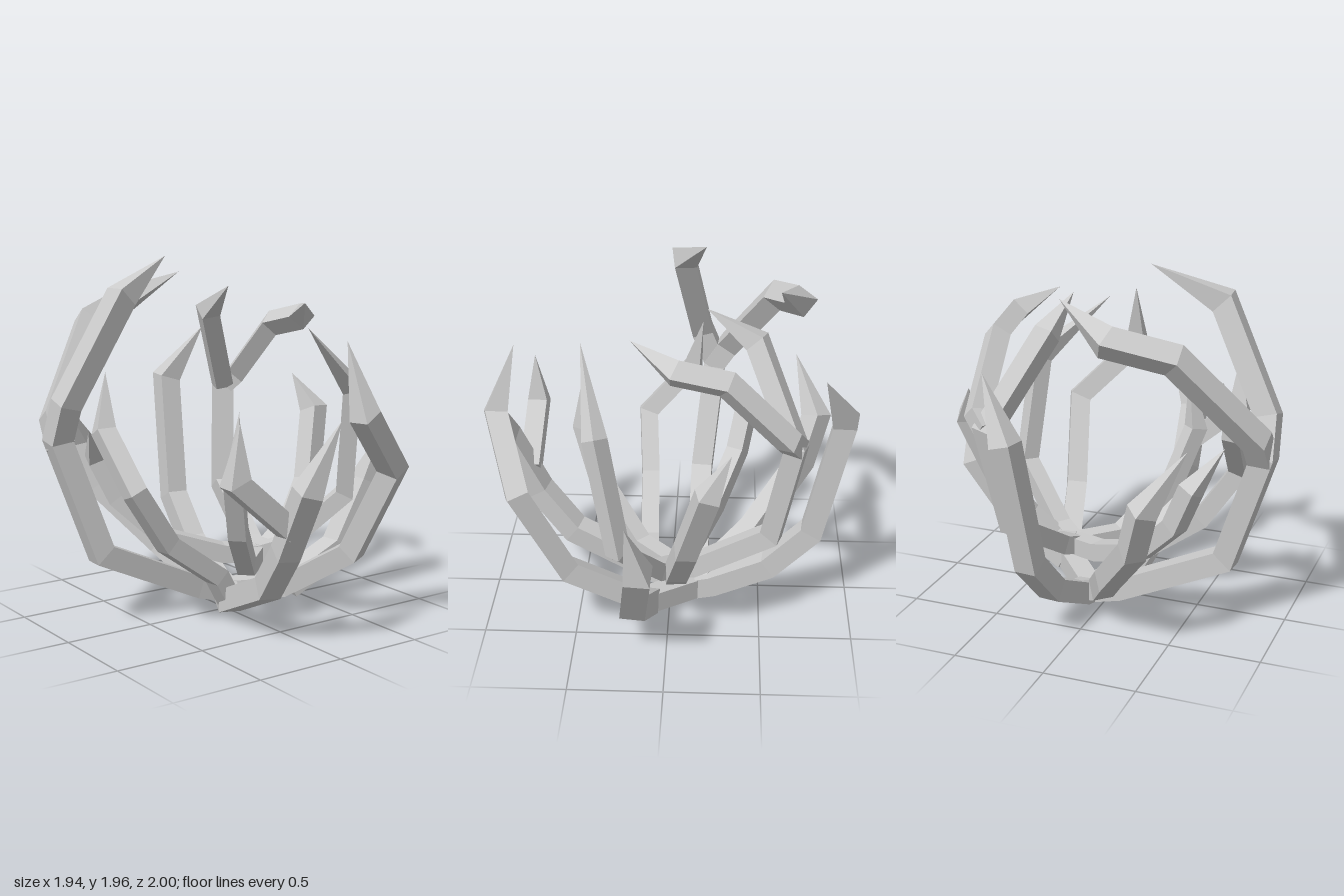
import * as THREE from 'three';

const V = (p) => new THREE.Vector3(...p);

// Square bar mitred at every bend of the path, closing in a sharp point at the last one
function thornGeometry(path, width) {
  const pts = path.map(V);
  const dirs = pts.slice(1).map((p, i) => p.clone().sub(pts[i]).normalize());
  const h = width / 2;
  const d0 = dirs[0];
  const u = V([0, 1, 0]).cross(d0).normalize();
  const v = d0.clone().cross(u);
  let ring = [[1, 1], [-1, 1], [-1, -1], [1, -1]].map(([a, b]) =>
    pts[0].clone().addScaledVector(u, a * h).addScaledVector(v, b * h));

  const out = [];
  const tri = (...c) => c.forEach((p) => out.push(p.x, p.y, p.z));
  tri(ring[0], ring[2], ring[1]);
  tri(ring[0], ring[3], ring[2]);

  // slide the corners along each segment to the mitre plane of the next bend
  for (let i = 1; i < pts.length - 1; i++) {
    const d = dirs[i - 1];
    const n = d.clone().add(dirs[i]).normalize();
    const next = ring.map((c) =>
      c.clone().addScaledVector(d, pts[i].clone().sub(c).dot(n) / d.dot(n)));
    for (let k = 0; k < 4; k++) {
      const m = (k + 1) % 4;
      tri(ring[k], ring[m], next[m]);
      tri(ring[k], next[m], next[k]);
    }
    ring = next;
  }
  const tip = pts[pts.length - 1];
  for (let k = 0; k < 4; k++) tri(ring[k], ring[(k + 1) % 4], tip);

  const geo = new THREE.BufferGeometry();
  geo.setAttribute('position', new THREE.Float32BufferAttribute(out, 3));
  geo.computeVertexNormals();
  return geo;
}

// Points where several branches meet
const base = [0.09, 0.06, -0.14];
const frontRightNode = [-0.06, 0.085, 0.12];
const frontLeftNode = [0.33, 0.11, 0.12];
const hub = [0.23, 0.275, -0.03];
const backLeftNode = [0.44, 1.14, -0.66];

// Branches of the lower cluster, spreading from the base: [width, path]
const lower = {
  rightTallBranch: [0.12, [base, [-0.1, 0.11, -0.15], [-0.7, 0.39, -0.16], [-0.91, 1.02, -0.23],
    [-0.9, 1.22, -0.15], [-0.62, 1.77, -0.05], [-0.27, 1.96, -0.18]]],
  rightTallFork: [0.12, [[-0.9, 0.99, -0.22], [-0.89, 1.13, -0.31], [-0.53, 1.59, -0.57],
    [-0.22, 1.68, -0.69], [0.07, 1.84, -0.57]]],
  frontRightBranch: [0.12, [base, frontRightNode, [-0.13, 0.28, 0.56], [-0.17, 0.52, 0.76],
    [-0.17, 0.86, 0.93], [0.01, 1.21, 0.97]]],
  frontRightFork: [0.11, [[-0.18, 0.65, 0.81], [-0.5, 0.93, 0.79], [-0.48, 1.22, 0.8]]],
  rightBranch: [0.1, [frontRightNode, [-0.15, 0.24, 0.13], [-0.47, 0.47, 0.14], [-0.68, 0.78, 0.16],
    [-0.71, 1.07, -0.1], [-0.66, 1.37, -0.16]]],
  frontLeftBranch: [0.115, [base, frontLeftNode, [0.45, 0.38, 0.54], [0.52, 0.87, 0.78],
    [0.2, 1.2, 0.92], [0.17, 1.57, 0.81]]],
  leftBranch: [0.135, [frontLeftNode, [0.66, 0.29, 0.17], [0.9, 0.64, 0.13], [0.97, 0.95, 0.19]]],
  backBranch: [0.12, [base, [0.1, 0.085, -0.24], [0.14, 0.24, -0.55], [0.16, 0.48, -0.78],
    [0.21, 1.18, -0.93], [0.39, 1.49, -0.8]]],
  backRightBranch: [0.115, [base, [-0.02, 0.13, -0.25], [-0.14, 0.3, -0.46], [-0.38, 0.62, -0.74],
    [-0.46, 0.88, -0.82], [-0.65, 1.18, -0.7]]],
};

// Branches of the upper cluster, spreading from a hub just above the base
const upper = {
  backLeftBranch: [0.105, [hub, [0.27, 0.31, -0.14], [0.36, 0.57, -0.55], backLeftNode,
    [0.19, 1.62, -0.45], [0.15, 1.78, -0.19]]],
  backLeftFork: [0.105, [backLeftNode, [0.51, 1.21, -0.62], [0.54, 1.54, -0.3],
    [0.55, 1.6, -0.04], [0.39, 1.7, 0.19]]],
  leftInnerBranch: [0.11, [hub, [0.34, 0.29, -0.04], [0.5, 0.41, -0.05], [0.65, 0.63, -0.1],
    [0.78, 1.03, -0.21], [0.71, 1.23, -0.33]]],
  frontLeftInnerBranch: [0.095, [hub, [0.35, 0.32, 0.06], [0.64, 0.62, 0.25], [0.59, 1.24, 0.36], [0.2, 1.6, 0.46]]],
  frontRightInnerBranch: [0.095, [hub, [0.02, 0.28, 0.17], [-0.21, 0.55, 0.41],
    [-0.31, 0.86, 0.51], [-0.27, 1.21, 0.5]]],
  rightInnerBranch: [0.1, [hub, [0.05, 0.29, -0.11], [-0.25, 0.39, -0.24], [-0.48, 0.63, -0.37],
    [-0.58, 0.86, -0.42], [-0.71, 1.05, -0.26]]],
};

export function createModel() {
  const model = new THREE.Group();
  const material = new THREE.MeshStandardMaterial({ color: 0xcccccc, flatShading: true });
  const addCluster = (name, branches) => {
    const group = new THREE.Group();
    group.name = name;
    for (const [part, [width, path]] of Object.entries(branches)) {
      const mesh = new THREE.Mesh(thornGeometry(path, width), material);
      mesh.name = part;
      group.add(mesh);
    }
    model.add(group);
  };
  addCluster('lowerCluster', lower);
  addCluster('upperCluster', upper);
  return model;
}
